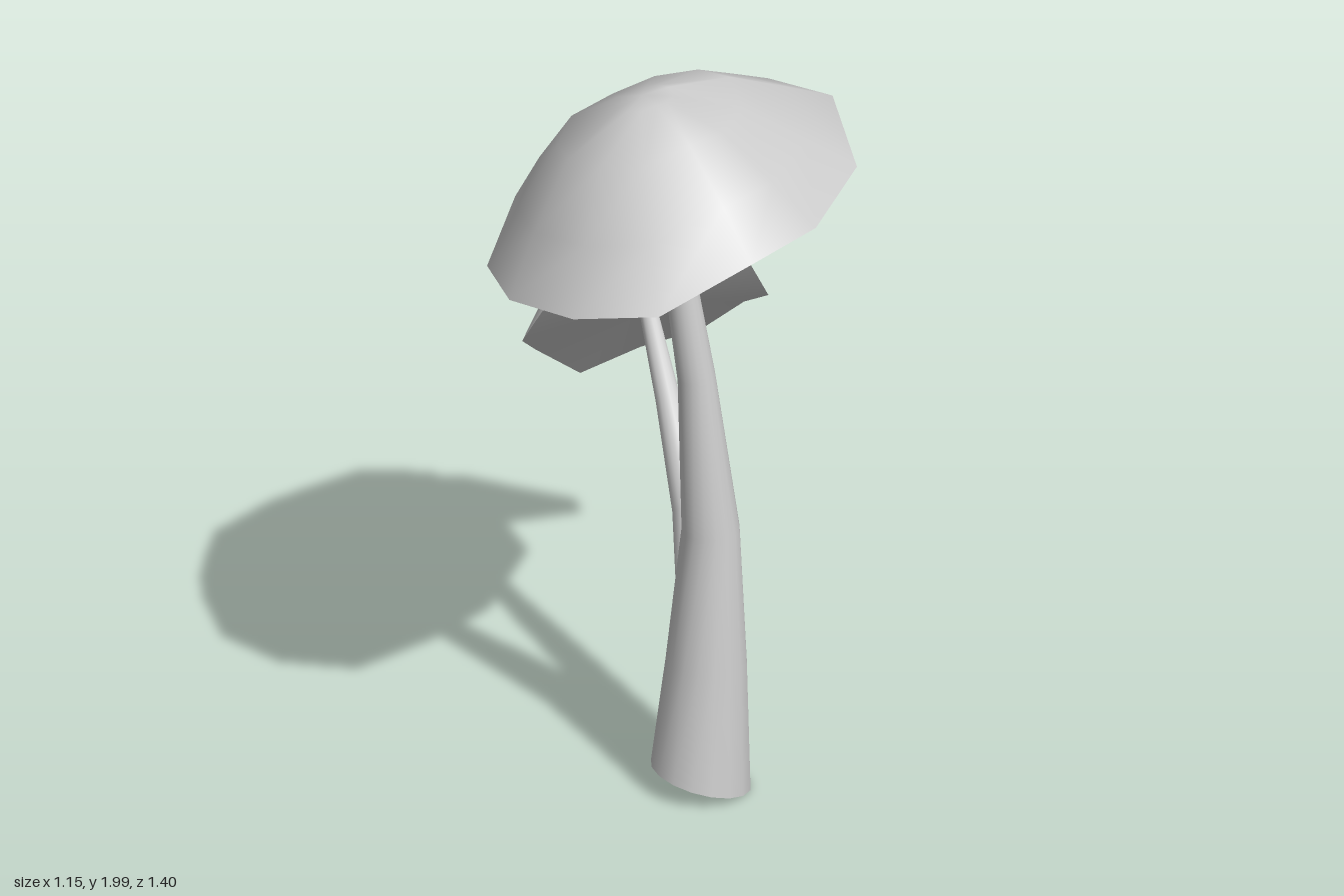
import * as THREE from 'three';
import { mergeVertices } from 'three/addons/utils/BufferGeometryUtils.js';

const V = (p) => new THREE.Vector3(...p);
const SIDES = 16;

// Smooth skin over rings of equal count, listed from the top or inner ring outwards
function skin(rings) {
  const n = rings[0].length, index = [];
  for (let r = 0; r < rings.length - 1; r++) {
    for (let i = 0; i < n; i++) {
      const a = r * n + i, b = r * n + (i + 1) % n;
      index.push(a, b + n, a + n, a, b, b + n);
    }
  }
  let geo = new THREE.BufferGeometry().setFromPoints(rings.flat());
  geo.setIndex(index);
  geo = mergeVertices(geo, 1e-5);
  geo.computeVertexNormals();
  return geo;
}

function addMesh(group, name, geometry) {
  const material = new THREE.MeshStandardMaterial({ color: 0xcccccc, side: THREE.DoubleSide });
  const mesh = new THREE.Mesh(geometry, material);
  mesh.name = name;
  group.add(mesh);
}

// Tapered, bent stem; each station is [x, y, z, radius] from base to tip
function makeStem(name, stations, baseUp) {
  const pts = stations.map((s) => V(s.slice(0, 3)));
  const last = pts.length - 1;
  const rings = pts.map((p, k) => {
    const dir = k === 0 ? V(baseUp).normalize()
      : pts[Math.min(k + 1, last)].clone().sub(pts[k - 1]).normalize();
    const turn = new THREE.Quaternion().setFromUnitVectors(V([0, 1, 0]), dir);
    return Array.from({ length: SIDES }, (_, i) => {
      const a = (i / SIDES) * Math.PI * 2;
      return V([Math.sin(a), 0, -Math.cos(a)]).multiplyScalar(stations[k][3]).applyQuaternion(turn).add(p);
    });
  }).reverse();
  const dot = (p) => Array(SIDES).fill(p);
  const group = new THREE.Group();
  group.name = name;
  addMesh(group, name + 'Side', skin(rings));
  addMesh(group, name + 'Tip', skin([dot(pts[last]), rings[0]]));
  addMesh(group, name + 'Base', skin([rings[last], dot(pts[0])]));
  return group;
}

// Irregular cap: the rim shrinks towards its centre while rising along the axis.
// Each level is [rim scale, height]; nod levels the inner rings from front to back.
function makeCap(name, rimPoints, axis, levels, hub, nod) {
  const rim = rimPoints.map(V);
  const centre = rim.reduce((s, p) => s.add(p), V([0, 0, 0])).divideScalar(rim.length);
  const up = V(axis).normalize();
  const ring = ([scale, h]) => rim.map((p) => {
    const q = centre.clone().lerp(p, scale);
    q.y += nod * (1 - scale) * (q.z - centre.z);
    return q.addScaledVector(up, h);
  });
  const group = new THREE.Group();
  group.name = name;
  addMesh(group, name + 'Dome', skin([...levels.map(ring), rim]));
  addMesh(group, name + 'Underside', skin([rim, rim.map(() => V(hub))]));
  return group;
}

export function createModel() {
  const model = new THREE.Group();
  model.name = 'mushroomPair';

  // Tall mushroom
  model.add(makeStem('tallStem', [
    [0.253, 0.033, 0.253, 0.138],
    [0.255, 0.36, 0.23, 0.109],
    [0.252, 0.74, 0.205, 0.078],
    [0.212, 1.18, 0.212, 0.051],
    [0.132, 1.62, 0.215, 0.039],
  ], [0.19, 1, -0.19]));
  model.add(makeCap('largeCap', [
    [0.05, 1.77, -0.375], [0.29, 1.81, -0.32], [0.48, 1.725, -0.15], [0.575, 1.715, 0.19],
    [0.525, 1.69, 0.42], [0.37, 1.58, 0.63], [0.145, 1.54, 0.7], [-0.09, 1.51, 0.65],
    [-0.27, 1.49, 0.485], [-0.35, 1.565, 0.23], [-0.32, 1.6, -0.12], [-0.175, 1.69, -0.3],
  ], [-0.11, 0.97, 0.21], [[0, 0.358], [0.16, 0.345], [0.5, 0.272], [0.78, 0.13]], [0.13, 1.635, 0.21], 0.25));

  // Small side mushroom
  model.add(makeStem('sideStem', [
    [0.212, 0.07, 0.2, 0.082],
    [0.152, 0.385, 0.105, 0.06],
    [0.045, 0.645, -0.013, 0.05],
    [-0.12, 0.86, -0.155, 0.034],
    [-0.3, 1.02, -0.325, 0.024],
  ], [-0.2, 1, -0.3]));
  model.add(makeCap('smallCap', [
    [-0.115, 1.245, -0.33], [-0.18, 1.25, -0.14], [-0.31, 1.2, -0.05], [-0.43, 1.095, -0.02],
    [-0.52, 0.965, -0.06], [-0.578, 0.86, -0.21], [-0.555, 0.72, -0.39], [-0.49, 0.735, -0.58],
    [-0.365, 0.78, -0.675], [-0.245, 0.885, -0.705], [-0.115, 0.975, -0.625], [-0.075, 1.16, -0.465],
  ], [-0.59, 0.71, -0.38], [[0, 0.235], [0.16, 0.232], [0.46, 0.205], [0.76, 0.09]], [-0.305, 1.025, -0.33], 0));

  return model;
}
